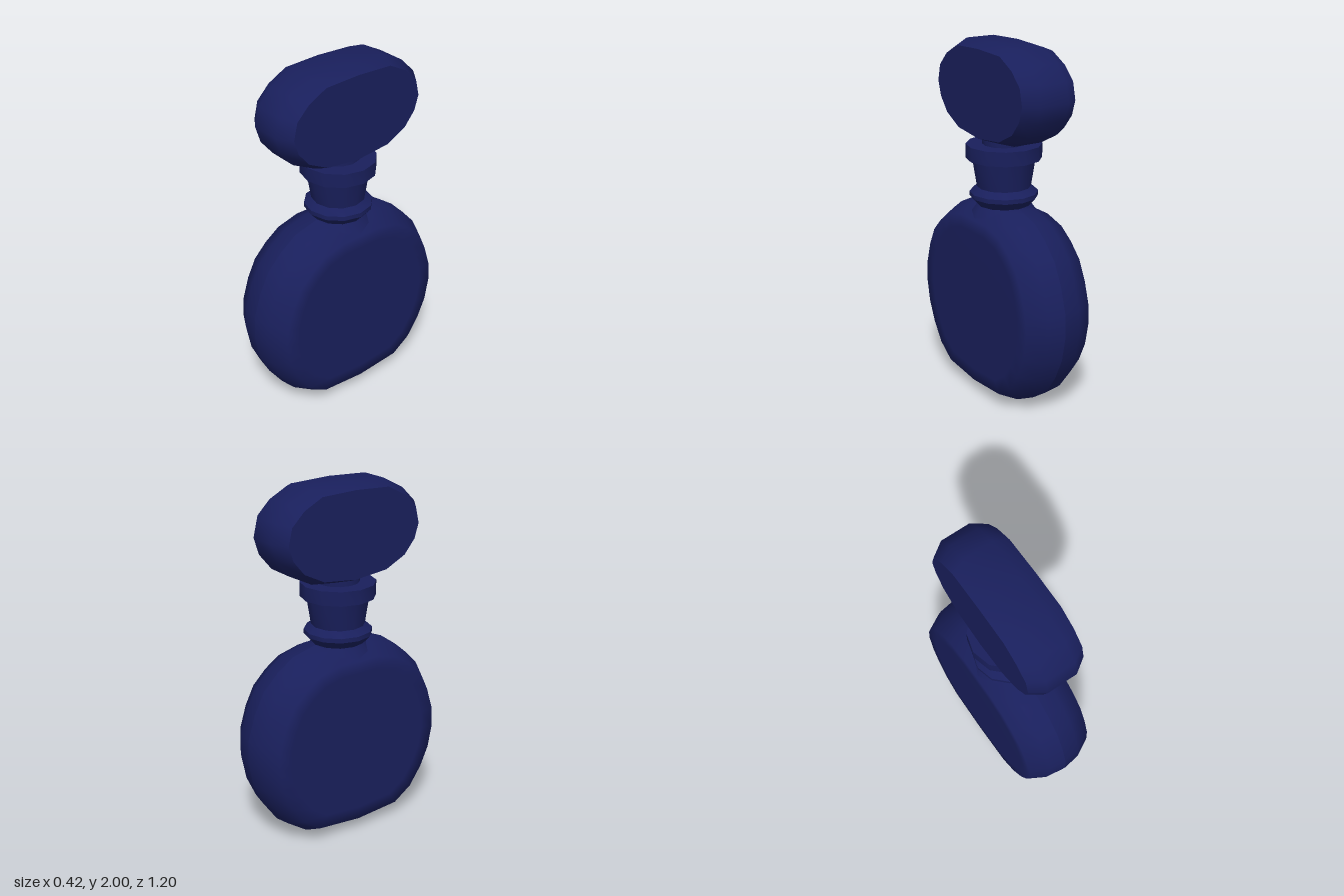
import * as THREE from 'three';
import { toCreasedNormals } from 'three/addons/utils/BufferGeometryUtils.js';

const glass = new THREE.MeshStandardMaterial({ color: 0x191f5c });

// Skins a mirrored (z, y) outline across x; each ring is [x, scale about centerY].
// A repeated ring makes a hard edge.
function loft(half, rings, centerY) {
  const outline = [...half, ...half.slice(1, -1).reverse().map(([z, y]) => [-z, y])];
  const n = outline.length;
  const positions = [];
  const index = [];
  rings.forEach(([x, s], i) => {
    for (const [z, y] of outline) positions.push(x, centerY + (y - centerY) * s, z * s);
    const next = rings[i + 1];
    if (!next || (next[0] === x && next[1] === s)) return;
    for (let j = 0; j < n; j++) {
      const a = i * n + j;
      const b = i * n + (j + 1) % n;
      if (s > 0) index.push(a, a + n, b);
      if (next[1] > 0) index.push(b, a + n, b + n);
      else if (s > 0 && next[1] > 0) index.push(a, b + n, b);
    }
  });
  const geometry = new THREE.BufferGeometry();
  geometry.setAttribute('position', new THREE.Float32BufferAttribute(positions, 3));
  geometry.setIndex(index);
  geometry.computeVertexNormals();
  return geometry;
}

// Completes a list of rings given from the +x face inward to the middle
function mirrored(rings) {
  return [...rings.map(([x, s]) => [-x, s]), ...rings.slice().reverse()];
}

function addPart(group, name, geometry) {
  const mesh = new THREE.Mesh(geometry, glass);
  mesh.name = name;
  group.add(mesh);
}

export function createModel() {
  const group = new THREE.Group();
  group.name = 'bottle';

  // Flat round flask with a softened rim
  const bodyHalf = [
    [0, 0], [0.3, 0.025], [0.425, 0.11], [0.51, 0.23], [0.57, 0.36], [0.6, 0.51], [0.593, 0.64],
    [0.55, 0.78], [0.49, 0.9], [0.4, 0.99], [0.3, 1.06], [0.15, 1.1], [0, 1.1],
  ];
  addPart(group, 'body', loft(bodyHalf,
    mirrored([[0.207, 0], [0.207, 0.75], [0.205, 0.88], [0.1, 0.975], [0, 1]]), 0.55));

  // Neck with ring bead, flared throat and lip
  const neckProfile = [
    [0.2, 1.03], [0.15, 1.1], [0.19, 1.145], [0.19, 1.17], [0.15, 1.2], [0.175, 1.36],
    [0.21, 1.36], [0.21, 1.44], [0.12, 1.44], [0.12, 1.5],
  ].map(([r, y]) => new THREE.Vector2(r, y));
  addPart(group, 'neck', toCreasedNormals(new THREE.LatheGeometry(neckProfile, 12), 0.6));

  // Oval stopper with bevelled rim and flat faces
  const stopperHalf = [
    [0, 1.455], [0.23, 1.48], [0.37, 1.55], [0.445, 1.64], [0.475, 1.735],
    [0.45, 1.84], [0.365, 1.925], [0.24, 1.99], [0, 2],
  ];
  addPart(group, 'stopper', loft(stopperHalf,
    mirrored([[0.165, 0], [0.165, 0.885], [0.165, 0.885], [0.085, 1]]), 1.73));

  return group;
}
